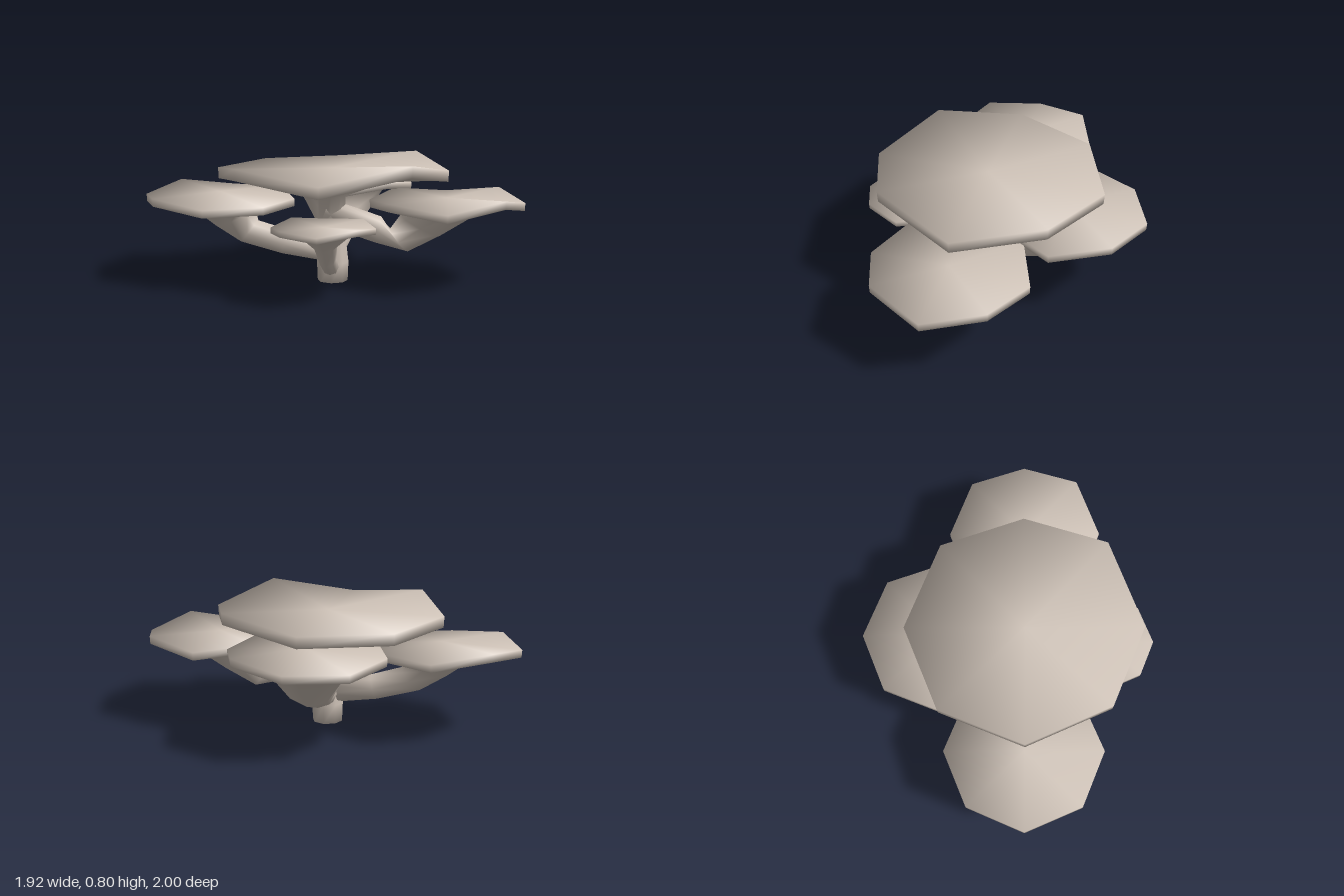
import * as THREE from 'three';

const SIDES = 8;
const UP = new THREE.Vector3(0, 1, 0);
const PHASE = 0.035;

// One ring of a stem: centre, radius, and the direction it faces
function stemRing([x, y, z, r, dx = 0, dy = 1, dz = 0]) {
  const turn = new THREE.Quaternion().setFromUnitVectors(UP, new THREE.Vector3(dx, dy, dz).normalize());
  return Array.from({ length: SIDES }, (_, j) => {
    const a = PHASE + (j / SIDES) * Math.PI * 2;
    return new THREE.Vector3(Math.cos(a) * r, 0, Math.sin(a) * r)
      .applyQuaternion(turn).add(new THREE.Vector3(x, y, z));
  });
}

// One ring of a plate: heights follow the wavy rim
function plateRing([cx, cz], r, heightAt) {
  return Array.from({ length: SIDES }, (_, j) => {
    const a = PHASE + (j / SIDES) * Math.PI * 2;
    return new THREE.Vector3(cx + Math.cos(a) * r, heightAt(j), cz + Math.sin(a) * r);
  });
}

// Smooth normals that count every face equally, so narrow rims look well rounded
function evenNormals(points, index) {
  const normals = points.map(() => new THREE.Vector3());
  const normal = new THREE.Vector3();
  for (let i = 0; i < index.length; i += 3) {
    const corners = index.slice(i, i + 3);
    THREE.Triangle.getNormal(...corners.map((c) => points[c]), normal);
    corners.forEach((c) => normals[c].add(normal));
  }
  return normals.flatMap((n) => n.normalize().toArray());
}

// A stem that flares into a wavy eight-sided plate, as one closed skin
function growth({ stem, centre, radius, middle, rim, thick, flare }) {
  const wave = (k, drop) => (j) => middle + (rim[j] - middle) * k - drop;
  const rings = [
    ...stem.map(stemRing),
    plateRing(centre, radius * flare, wave(flare * 0.7, thick * 1.2)),
    plateRing(centre, radius * 0.86, wave(0.86, thick * 0.95)),
    plateRing(centre, radius * 0.995, wave(1, thick)),
    plateRing(centre, radius, wave(1, 0)),
  ];
  const points = rings.flat();
  const bottom = points.length;
  const top = bottom + 1;
  points.push(new THREE.Vector3(...stem[0].slice(0, 3)));
  points.push(new THREE.Vector3(centre[0], middle, centre[1]));

  const index = [];
  const last = (rings.length - 1) * SIDES;
  for (let j = 0; j < SIDES; j++) {
    const n = (j + 1) % SIDES;
    for (let i = 0; i < rings.length - 1; i++) {
      const a = i * SIDES + j, b = i * SIDES + n;
      index.push(a, a + SIDES, b, b, a + SIDES, b + SIDES);
    }
    index.push(j, n, bottom, last + j, top, last + n);
  }
  const geometry = new THREE.BufferGeometry().setFromPoints(points);
  geometry.setIndex(index);
  geometry.setAttribute('normal', new THREE.Float32BufferAttribute(evenNormals(points, index), 3));
  return geometry;
}

// Stem rings: x, y, z, radius, facing direction. Rim heights start at +x and turn toward +z.
const parts = {
  trunkAndTopPlate: {
    stem: [[0.005, 0, 0, 0.095], [0.005, 0.12, 0, 0.1], [0, 0.28, 0, 0.085], [0, 0.54, 0, 0.085]],
    centre: [0, 0], radius: 0.72, middle: 0.715, thick: 0.069, flare: 0.47,
    rim: [0.767, 0.707, 0.8, 0.702, 0.767, 0.707, 0.703, 0.705],
  },
  frontLeftPlate: {
    stem: [[-0.03, 0.44, -0.03, 0.085, 1, -0.5, 1], [0.2, 0.33, 0.21, 0.085, 1, -0.3, 1],
      [0.285, 0.265, 0.305, 0.09, 0.7, 0.8, 0.7], [0.375, 0.365, 0.405, 0.14, 0.35, 1, 0.35]],
    centre: [0.482, 0.522], radius: 0.476, middle: 0.54, thick: 0.049, flare: 0.5,
    rim: [0.56, 0.515, 0.58, 0.515, 0.55, 0.52, 0.545, 0.51],
  },
  backRightPlate: {
    stem: [[0, 0.19, 0, 0.075, -1, 0.35, -1], [-0.2, 0.24, -0.22, 0.08, -1, 0.35, -1],
      [-0.36, 0.305, -0.38, 0.09, -0.7, 0.8, -0.7], [-0.42, 0.39, -0.445, 0.14, -0.3, 1, -0.3]],
    centre: [-0.482, -0.524], radius: 0.476, middle: 0.555, thick: 0.047, flare: 0.5,
    rim: [0.545, 0.515, 0.515, 0.515, 0.555, 0.53, 0.578, 0.53],
  },
  backLeftPlate: {
    stem: [[0, 0.18, 0, 0.07, 1, 0.6, -1], [0.13, 0.22, -0.11, 0.09, 1, 0.8, -1],
      [0.26, 0.33, -0.23, 0.16, 0.6, 1, -0.6]],
    centre: [0.376, -0.345], radius: 0.476, middle: 0.595, thick: 0.047, flare: 0.62,
    rim: [0.593, 0.555, 0.607, 0.56, 0.59, 0.56, 0.545, 0.555],
  },
  smallFrontRightPlate: {
    stem: [[0.02, 0.042, -0.02, 0.048, -1, 1, 1], [-0.17, 0.19, 0.15, 0.058, -1, 1, 1],
      [-0.28, 0.32, 0.255, 0.075, -0.6, 1, 0.6]],
    centre: [-0.362, 0.338], radius: 0.306, middle: 0.438, thick: 0.034, flare: 0.55,
    rim: [0.45, 0.435, 0.465, 0.435, 0.45, 0.43, 0.45, 0.43],
  },
};

export function createModel() {
  const coral = new THREE.MeshStandardMaterial({ color: 0xd0c4b9 });
  coral.name = 'pale coral';
  const model = new THREE.Group();
  model.name = 'tableCoral';
  for (const [name, spec] of Object.entries(parts)) {
    const mesh = new THREE.Mesh(growth(spec), coral);
    mesh.name = name;
    model.add(mesh);
  }
  return model;
}
